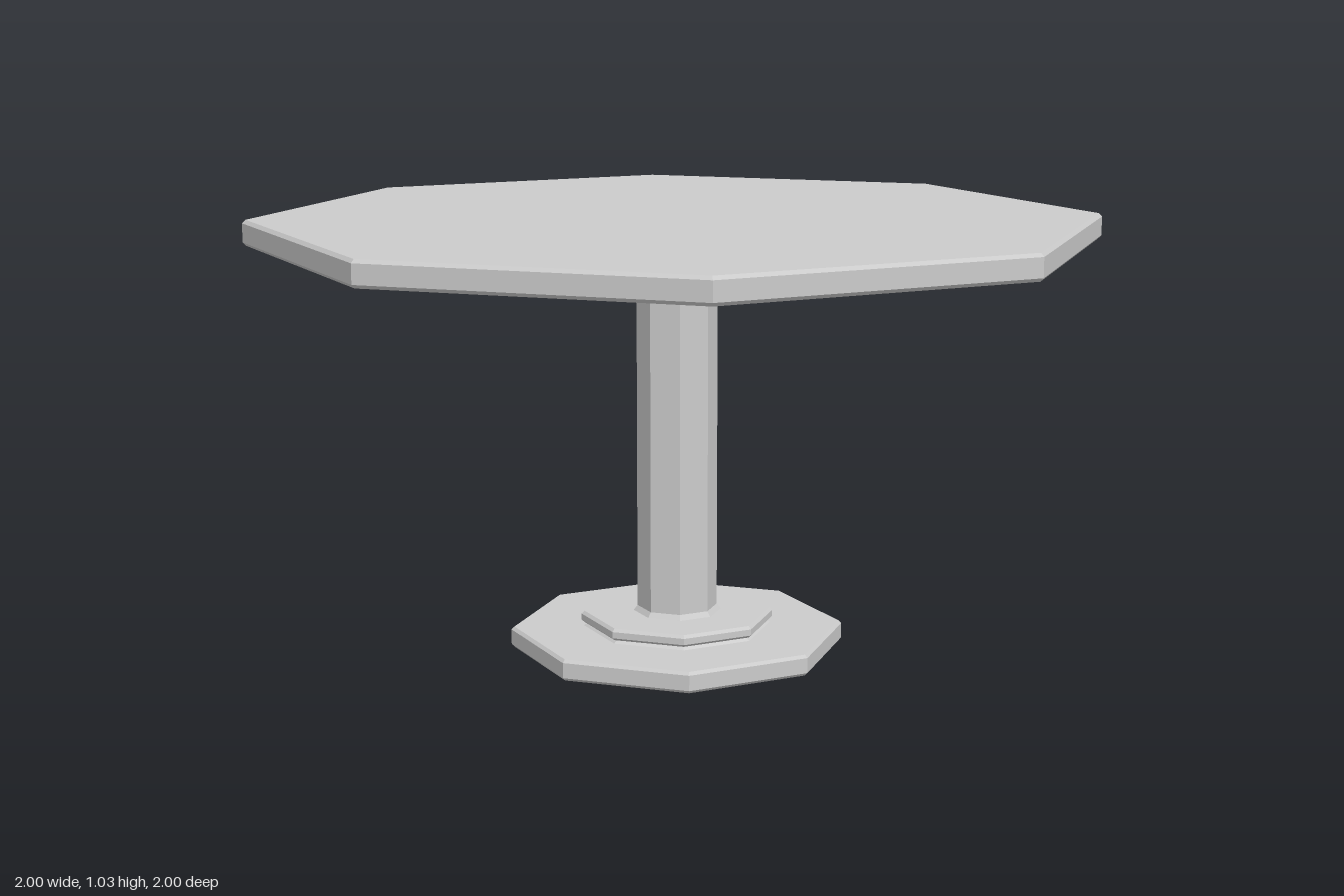
import * as THREE from 'three';

const material = new THREE.MeshStandardMaterial({ color: 0xcccccc, flatShading: true });

// Eight-sided turned part; profile is [radius, height] from bottom to top.
function octagonal(name, profile) {
  const points = profile.map(([r, y]) => new THREE.Vector2(r, y));
  const mesh = new THREE.Mesh(new THREE.LatheGeometry(points, 8), material);
  mesh.name = name;
  return mesh;
}

// Closed slab with a small chamfer on both rims.
function slab(name, radius, bottom, top, bevel) {
  return octagonal(name, [
    [0, bottom], [radius - bevel, bottom], [radius, bottom + bevel],
    [radius, top - bevel], [radius - bevel, top], [0, top],
  ]);
}

export function createModel() {
  const table = new THREE.Group();
  table.name = 'pedestalTable';

  table.add(slab('tableTop', 1, 0.97, 1.03, 0.008));
  table.add(slab('baseFoot', 0.397, 0, 0.05, 0.007));

  // Raised step on the foot, with a narrow neck under its rim
  table.add(octagonal('baseStep', [
    [0.225, 0.049], [0.213, 0.058], [0.222, 0.058], [0.229, 0.064],
    [0.229, 0.079], [0.222, 0.086], [0, 0.086],
  ]));

  // Column flaring slightly at both ends
  table.add(octagonal('column', [
    [0.105, 0.085], [0.095, 0.098], [0.095, 0.958], [0.105, 0.971],
  ]));

  return table;
}
